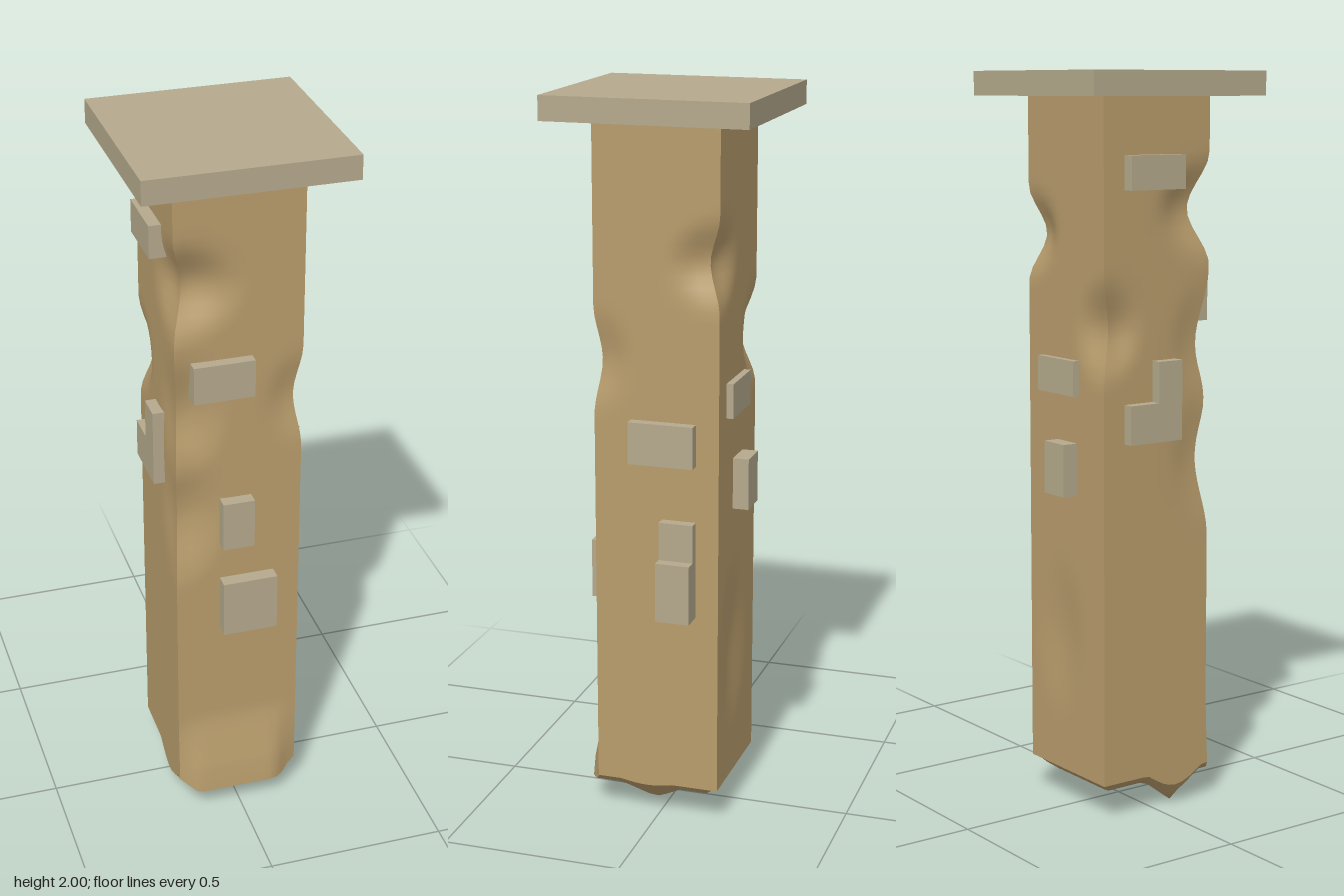
import * as THREE from 'three';

const HALF = 0.173, FOOT = 0.1, CAP_Y = 1.935;

// Worn spots: centre, radius (x/z, y), push direction
const dents = [
  { c: [-HALF, 1.64, HALF], r: [0.2, 0.15], d: [0.034, 0, -0.05] },
  { c: [-HALF, 1.28, HALF], r: [0.15, 0.2], d: [0.013, 0, -0.035] },
  { c: [-HALF, 0.97, HALF], r: [0.15, 0.22], d: [0.012, 0, -0.035] },
  { c: [HALF, 1.3, HALF], r: [0.12, 0.15], d: [-0.02, 0, -0.018] },
  { c: [HALF, 1.57, -HALF], r: [0.16, 0.13], d: [-0.035, 0, 0.036] },
  { c: [-HALF, 1.33, -HALF], r: [0.14, 0.15], d: [0.03, 0, 0.035] },
  { c: [0.03, 0.48, -HALF], r: [0.13, 0.25], d: [0, 0, 0.012] },
];

// Broken points under the shaft: x, z, radius x, radius z, drop
const points = [
  [-0.13, 0.065, 0.075, 0.11, 0.092],
  [0.055, 0.03, 0.13, 0.17, 0.094],
];

const clamp01 = (t) => Math.min(1, Math.max(0, t));

function makeShaft(material) {
  const height = CAP_Y - FOOT;
  const geo = new THREE.BoxGeometry(HALF * 2, height, HALF * 2, 16, 64, 16);
  geo.translate(0, FOOT + height / 2, 0);
  const pos = geo.attributes.position;
  const base = new THREE.Vector3(), v = new THREE.Vector3();
  for (let i = 0; i < pos.count; i++) {
    base.fromBufferAttribute(pos, i);
    v.copy(base);
    for (const { c, r, d } of dents) {
      const q = Math.hypot((base.x - c[0]) / r[0], (base.y - c[1]) / r[1], (base.z - c[2]) / r[0]);
      const w = THREE.MathUtils.smoothstep(1 - q, 0, 1);
      v.x += d[0] * w;
      v.y += d[1] * w;
      v.z += d[2] * w;
    }
    // Swollen lower front
    const across = clamp01((HALF - Math.abs(base.x + 0.01)) / 0.06);
    const front = clamp01((base.z + 0.02) / (HALF + 0.02));
    v.z += 0.042 * clamp01((0.29 - base.y) / 0.19) * across * front;
    // Ragged underside
    if (base.y < FOOT + 0.001) {
      let drop = 0.033 * clamp01((HALF - Math.abs(base.x)) / 0.045) * clamp01((base.z + HALF) / 0.04);
      for (const [px, pz, rx, rz, h] of points) {
        drop = Math.max(drop, h * 1.08 * (1 - Math.hypot((base.x - px) / rx, (base.z - pz) / rz)));
      }
      v.y -= Math.min(drop, 0.1);
    }
    pos.setXYZ(i, v.x, v.y, v.z);
  }
  geo.computeVertexNormals();
  const mesh = new THREE.Mesh(geo, material);
  mesh.name = 'shaft';
  return mesh;
}

// Bricks by side: [from, to along the face, bottom, top, outer distance]
const bricks = {
  front: [[-0.13, 0.035, 1.335, 1.44, 0.203], [-0.052, 0.035, 0.88, 1.022, 0.208], [-0.052, 0.1, 0.605, 0.77, 0.212]],
  back: [[-0.06, 0.105, 1.15, 1.245, 0.192], [-0.05, 0.04, 0.88, 1.022, 0.217]],
  left: [[-0.11, 0.07, 1.03, 1.145, 0.203], [-0.11, -0.016, 0.605, 0.875, 0.203], [-0.11, -0.016, 0.605, 0.77, 0.234]],
  right: [[-0.107, 0.068, 1.695, 1.785, 0.206], [-0.107, 0.062, 1.03, 1.135, 0.203], [-0.015, 0.062, 1.03, 1.245, 0.203]],
};

function makeBrick(side, [a, b, y0, y1, out], material) {
  const inner = 0.12, depth = out - inner, mid = (out + inner) / 2;
  const onZ = side === 'front' || side === 'back';
  const sign = side === 'front' || side === 'left' ? 1 : -1;
  const geo = onZ ? new THREE.BoxGeometry(b - a, y1 - y0, depth) : new THREE.BoxGeometry(depth, y1 - y0, b - a);
  const mesh = new THREE.Mesh(geo, material);
  const along = (a + b) / 2, y = (y0 + y1) / 2;
  if (onZ) mesh.position.set(along, y, sign * mid);
  else mesh.position.set(sign * mid, y, along);
  mesh.name = side + 'Brick';
  return mesh;
}

export function createModel() {
  const group = new THREE.Group();
  group.name = 'pillar';
  const plaster = new THREE.MeshStandardMaterial({ color: 0xb89c6c });
  const stone = new THREE.MeshStandardMaterial({ color: 0xb5a98c });

  group.add(makeShaft(plaster));

  // Square slab on top
  const cap = new THREE.Mesh(new THREE.BoxGeometry(0.555, 2 - CAP_Y, 0.555), stone);
  cap.position.y = (2 + CAP_Y) / 2;
  cap.name = 'capSlab';
  group.add(cap);

  // Exposed bricks
  for (const [side, list] of Object.entries(bricks)) {
    for (const brick of list) group.add(makeBrick(side, brick, stone));
  }
  return group;
}
